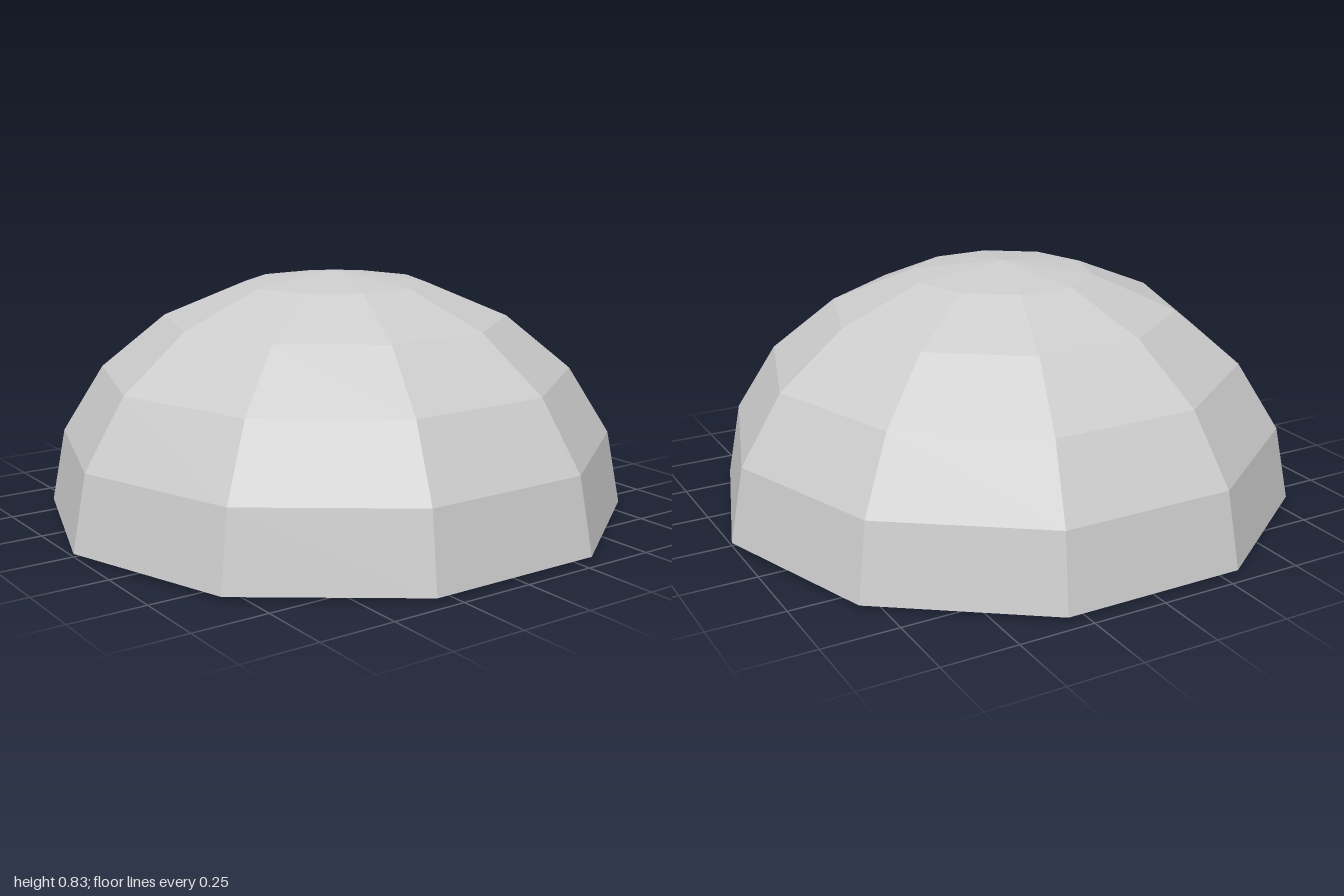
import * as THREE from 'three';

const material = (name, color) => new THREE.MeshStandardMaterial({
  name, color, flatShading: true, side: THREE.DoubleSide,
});

export function createModel() {
  const group = new THREE.Group();
  const shell = material('pale grey shell', 0xcccccc);
  const card = material('light grey panel', 0xcdcdcd);
  const ground = material('mid grey ground', 0x777777);
  const dark = material('charcoal ground', 0x363c40);
  const slate = material('slate blue wall', 0x66747f);

  const add = (name, geometry, mat, x = 0, y = 0, z = 0, turn = 0) => {
    const mesh = new THREE.Mesh(geometry, mat);
    mesh.name = name;
    mesh.position.set(x, y, z);
    mesh.rotation.y = turn;
    group.add(mesh);
    return mesh;
  };

  // Ten-sided hollow dome, five rings high, open underneath
  const profile = [];
  for (let i = 0; i <= 5; i++) {
    const a = (i * Math.PI) / 10;
    profile.push(new THREE.Vector2(i === 5 ? 0 : Math.cos(a), 0.01 + 0.82 * Math.sin(a)));
  }
  add('dome', new THREE.LatheGeometry(profile, 10, Math.PI / 2), shell);

  // Thin ground plates, outlined in x and z
  const plate = (name, points, mat, y, depth) => {
    const shape = new THREE.Shape(points.map(([x, z]) => new THREE.Vector2(x, z)));
    const geometry = new THREE.ExtrudeGeometry(shape, { depth, bevelEnabled: false });
    geometry.rotateX(Math.PI / 2);
    add(name, geometry, mat, 0, y + depth, 0);
  };
  plate('groundPlate', [[0.11, 0.2], [0.15, -0.04], [0.19, -0.14], [-0.02, -0.14],
    [-0.12, -0.03], [-0.11, 0.12], [0, 0.22]], ground, 0, 0.008);
  plate('backGround', [[0.03, -0.36], [-0.07, -0.22], [-0.13, -0.03], [0, -0.05],
    [0.03, -0.17]], dark, 0.01, 0.01);
  plate('frontGround', [[-0.12, 0.34], [-0.15, 0.13], [0, 0.1], [0.12, 0.1],
    [0.18, 0.27], [0.03, 0.26]], dark, 0.01, 0.01);

  // Upright panels: x, base y, z, width, height, turn
  const along = Math.PI / 2;
  const panels = [
    [0.34, 0.03, 0.315, 0.15, 0.07, along],
    [0.32, 0.03, -0.09, 0.1, 0.17, 0.7],
    [0.28, 0.03, -0.11, 0.06, 0.17, along],
    [0.095, 0.03, -0.42, 0.11, 0.2, 0.5],
    [0, 0.03, -0.45, 0.08, 0.15, 0.5],
    [0.15, 0.03, 0.2, 0.26, 0.14, along],
    [-0.31, 0.03, 0.04, 0.08, 0.16, 0.4],
    [-0.31, 0.03, -0.14, 0.14, 0.16, along],
    [-0.51, 0.03, -0.05, 0.06, 0.13, along],
  ];
  for (const [x, y, z, w, h, turn] of panels) {
    add('panel', new THREE.PlaneGeometry(w, h), card, x, y + h / 2, z, turn);
  }

  // Row of small crossed panels behind the middle
  for (let i = 0; i < 5; i++) {
    const x = 0.23 - i * 0.055;
    const z = -0.13 - i * 0.02;
    for (const turn of [0.3, 0.3 + along]) {
      add('crossedPanel', new THREE.PlaneGeometry(0.06, 0.12), card, x, 0.09, z, turn);
    }
  }

  // Low slate walls around the ground
  const walls = [
    [0.17, 0.29, 0.12, along], [0.12, 0.29, 0.12, 0], [0.2, -0.1, 0.1, 0],
    [0.06, -0.27, 0.12, along], [-0.24, 0.04, 0.1, 0], [-0.27, 0.0, 0.12, along],
    [-0.34, -0.02, 0.1, 0], [0, 0.3, 0.1, along],
  ];
  for (const [x, z, w, turn] of walls) {
    add('lowWall', new THREE.BoxGeometry(w, 0.07, 0.008), slate, x, 0.05, z, turn);
  }
  return group;
}
